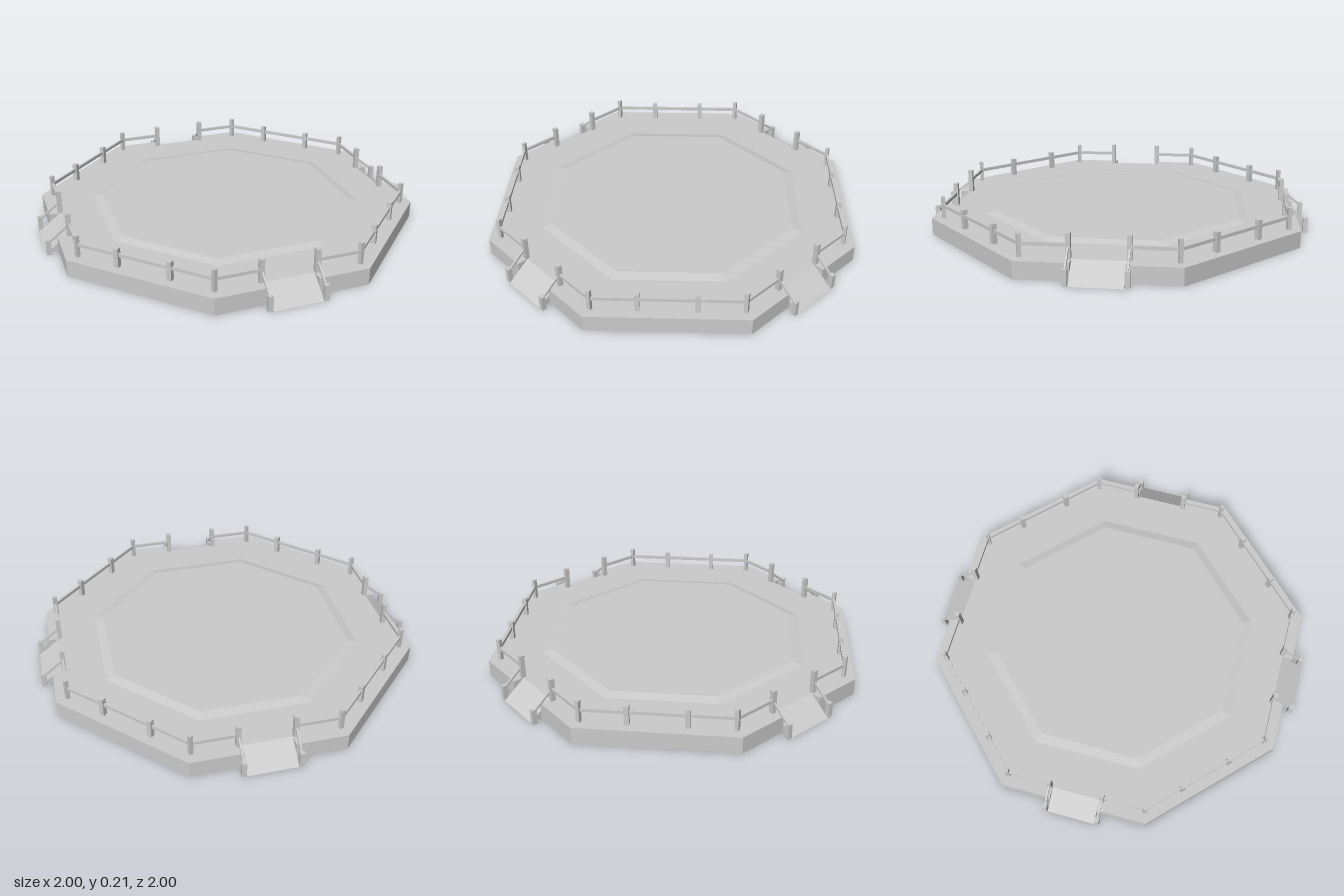
import * as THREE from 'three';

const DECK_Y = 0.088, POST_RING = 0.88;
const mat = new THREE.MeshStandardMaterial({ color: 0xcccccc, flatShading: true, side: THREE.DoubleSide });

function add(parent, name, geometry) {
  const mesh = new THREE.Mesh(geometry, mat);
  mesh.name = name;
  parent.add(mesh);
  return mesh;
}

// Repeats a few [x, z] points around the four sides
function fourfold(points) {
  const out = [];
  for (let k = 0; k < 4; k++) {
    const c = Math.round(Math.cos(k * Math.PI / 2)), s = Math.round(Math.sin(k * Math.PI / 2));
    for (const [x, z] of points) out.push([x * c - z * s, x * s + z * c]);
  }
  return out;
}

const octagon = (apothem, half) => fourfold([[half, apothem], [-half, apothem]]);
const toVec2 = (loop) => loop.map(([x, z]) => new THREE.Vector2(x, -z));

// Flat horizontal plate with an optional hole
function plate(loop, y, hole) {
  const shape = new THREE.Shape(toVec2(loop));
  if (hole) shape.holes.push(new THREE.Path(toVec2(hole)));
  return new THREE.ShapeGeometry(shape).rotateX(-Math.PI / 2).translate(0, y, 0);
}

// Band of quads between two loops of equal length
function band(low, yLow, high, yHigh, skip = () => false) {
  const pos = [];
  low.forEach((a, i) => {
    if (skip(i)) return;
    const j = (i + 1) % low.length, b = low[j], c = high[j], d = high[i];
    const A = [a[0], yLow, a[1]], B = [b[0], yLow, b[1]], C = [c[0], yHigh, c[1]], D = [d[0], yHigh, d[1]];
    pos.push(...A, ...C, ...B, ...A, ...D, ...C);
  });
  const g = new THREE.BufferGeometry();
  g.setAttribute('position', new THREE.Float32BufferAttribute(pos, 3));
  g.computeVertexNormals();
  return g;
}

function post(parent, name, x, z, y0, y1, size, turn = 0) {
  const m = add(parent, name, new THREE.BoxGeometry(size, y1 - y0, size));
  m.position.set(x, (y0 + y1) / 2, z);
  m.rotation.y = turn;
}

// Square bar between two points
function rail(parent, name, a, b, width, height) {
  const p = new THREE.Vector3(...a), q = new THREE.Vector3(...b);
  const m = add(parent, name, new THREE.BoxGeometry(width, height, p.distanceTo(q)));
  m.position.copy(p).add(q).multiplyScalar(0.5);
  m.lookAt(q);
}

// One quarter: ramp, its handrails, the straight fence and one diagonal fence
function buildSide() {
  const side = new THREE.Group();
  side.name = 'side';

  // Sloping ramp with closed cheeks and an open underside
  const w = 0.125, zi = 0.885, zo = 1;
  const ramp = new THREE.BufferGeometry();
  ramp.setAttribute('position', new THREE.Float32BufferAttribute([
    -w, DECK_Y, zi, -w, 0, zo, w, 0, zo, -w, DECK_Y, zi, w, 0, zo, w, DECK_Y, zi,
    w, DECK_Y, zi, w, 0, zo, w, 0, zi, -w, DECK_Y, zi, -w, 0, zi, -w, 0, zo,
  ], 3));
  ramp.computeVertexNormals();
  add(side, 'ramp', ramp);

  for (const s of [-1, 1]) {
    post(side, 'gatePost', s * 0.139, POST_RING, 0.08, 0.21, 0.024);
    post(side, 'rampPost', s * 0.139, 0.988, 0, 0.08, 0.024);
    rail(side, 'rampRail', [s * 0.139, 0.148, POST_RING], [s * 0.139, 0.062, 0.988], 0.008, 0.012);
    post(side, 'cornerPost', s * 0.365, POST_RING, 0.08, 0.202, 0.02, Math.PI / 8);
    rail(side, 'straightRail', [s * 0.139, 0.153, POST_RING], [s * 0.365, 0.153, POST_RING], 0.012, 0.017);
  }

  // Diagonal fence
  rail(side, 'diagonalRail', [0.365, 0.153, POST_RING], [POST_RING, 0.153, 0.365], 0.012, 0.017);
  post(side, 'diagonalPost', 0.523, 0.722, 0.08, 0.187, 0.025, Math.PI / 4);
  post(side, 'diagonalPost', 0.722, 0.523, 0.08, 0.187, 0.025, Math.PI / 4);
  return side;
}

export function createModel() {
  const model = new THREE.Group();
  model.name = 'octagonalPlatform';

  // Deck outline, notched where the ramps cut in
  const outline = fourfold([
    [0.385, 0.94], [0.125, 0.94], [0.125, 0.885], [-0.125, 0.885], [-0.125, 0.94], [-0.385, 0.94],
  ]);
  const outer = octagon(0.677, 0.28), inner = octagon(0.63, 0.261);
  add(model, 'deck', plate(outline, DECK_Y, outer));
  add(model, 'deckWall', band(outline, 0, outline, DECK_Y, (i) => i % 6 === 2));

  // Slightly raised centre with a sloping border
  add(model, 'raisedBorder', band(outer, DECK_Y, inner, 0.099));
  add(model, 'raisedFloor', plate(inner, 0.099));

  for (let k = 0; k < 4; k++) {
    const side = buildSide();
    side.rotation.y = k * Math.PI / 2;
    model.add(side);
  }
  return model;
}
